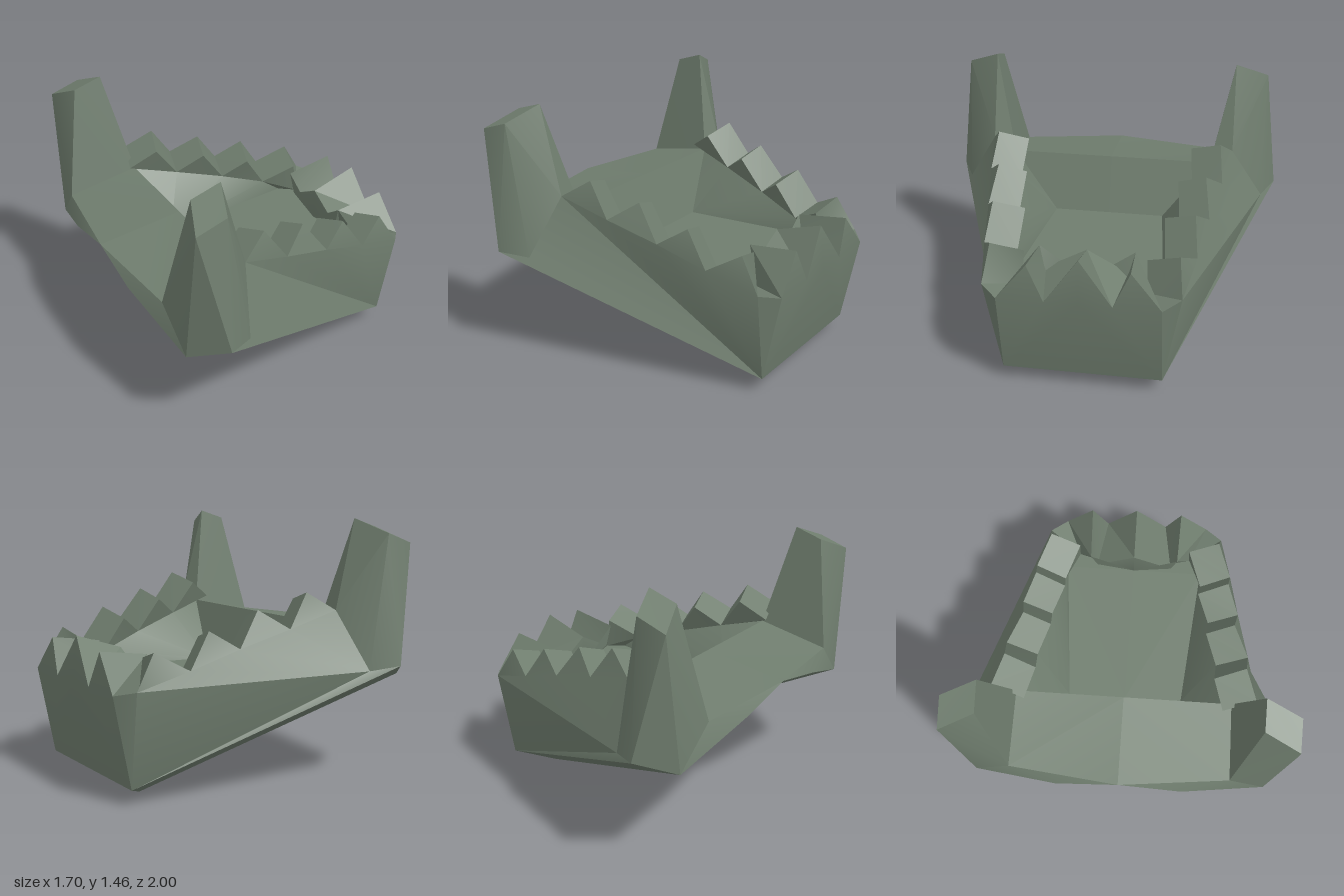
import * as THREE from 'three';
import { toCreasedNormals } from 'three/addons/utils/BufferGeometryUtils.js';

// Corner points of the +z half; the other half is mirrored in z.
const A = [-.6, .68, 1], B = [.75, .09, .44], C = [.85, .6, .435], D = [.765, .625, .53];
const E = [-.37, .97, .73], J = [-.45, .655, .92], F = [-.76, .59, .82], K = [.59, 0, .25];
const H = [-.78, .8, .61], G = [-.85, .75, .35], M = [-.85, .82, 0], N = [-.37, .885, .6];
const P1 = [-.735, 1.33, .91], P2 = [-.57, 1.385, .91], P3 = [-.5, 1.46, .72], P4 = [-.66, 1.41, .72];
const R = [-.27, .55, .33], S = [.55, .57, .41];
const mid = p => [p[0], p[1], 0];

// Side teeth: outer zigzag and its inner copy, valley and peak alternating
const outer = [E, [-.22, 1.07, .66], [-.09, .885, .685], [.06, .99, .595], [.2, .8, .63],
  [.35, .9, .56], [.48, .71, .585], [.65, .81, .505], D];
const innerXZ = [[-.42, .55], [-.27, .49], [-.13, .51], [.02, .44], [.16, .46],
  [.3, .39], [.43, .41], [.61, .33], [.64, .34]];
const inner = innerXZ.map(([x, z], i) => [x, outer[i][1] - .055, z]);
const outerValleys = outer.filter((p, i) => i % 2 === 0);

// Front teeth: outer and inner zigzag from the corner to the middle
const frontOuter = [C, [.83, .8, .27], [.85, .6, .18], [.82, .845, 0]];
const frontInner = [inner[8], [.54, .755, .26], [.55, .63, .225], [.55, .755, 0]];

// Quads between two zigzag lines
const strip = (a, b) => a.slice(1).map((p, i) => [a[i], p, b[i + 1], b[i]]);

// Sharp-edged mesh from polygons, each cut into a fan; slight folds stay soft
function facets(name, polygons, side, material) {
  const pos = [];
  for (const poly of polygons) {
    for (let i = 1; i < poly.length - 1; i++) {
      const tri = side > 0 ? [poly[0], poly[i], poly[i + 1]] : [poly[0], poly[i + 1], poly[i]];
      for (const [x, y, z] of tri) pos.push(x, y, z * side);
    }
  }
  const geo = new THREE.BufferGeometry();
  geo.setAttribute('position', new THREE.Float32BufferAttribute(pos, 3));
  const mesh = new THREE.Mesh(toCreasedNormals(geo, .55), material);
  mesh.name = name;
  return mesh;
}

export function createModel() {
  const group = new THREE.Group();
  group.name = 'lowerJaw';
  const stone = new THREE.MeshStandardMaterial({ color: 0x6f7d6e, side: THREE.DoubleSide });
  stone.name = 'greyGreen';

  for (const side of [1, -1]) {
    const half = new THREE.Group();
    half.name = side > 0 ? 'frontHalf' : 'backHalf';
    const add = (name, polygons) => half.add(facets(name, polygons, side, stone));

    // Outer wall with the teeth's outer faces, folded differently on the two sides
    const wall = side > 0
      ? [[A, B, J], [B, ...outerValleys.slice().reverse(), J], [B, C, D]]
      : [[A, B, J], [J, B, ...outerValleys.slice().reverse()], [B, C, D]];
    for (let i = 0; i < 8; i += 2) wall.push([outer[i], outer[i + 2], outer[i + 1]]);
    add('outerWall', wall);

    // Chin face running up into the front teeth
    add('chin', [[B, mid(B), mid(C), frontOuter[2], C],
      [C, frontOuter[2], frontOuter[1]], [frontOuter[2], mid(C), frontOuter[3]]]);

    // Lower bevels and the arched underside
    add('lowerBevel', [[F, K, B, A], [K, mid(K), mid(B), B]]);
    add('underside', [[M, mid(K), K, F, G]]);

    // Upright hinge prong
    add('hingeProng', [[P1, F, A, P2], [P2, A, J, E], [P2, E, P3], [P3, E, N],
      [P1, P2, P3, P4], [P4, P3, N, H], [H, F, P1, P4]]);

    // Rear bar joining the prongs
    add('rearBar', [[G, F, H], [H, N, mid(N), M], [H, M, G]]);
    add('rearBarFront', [[N, R, mid(R), mid(N)]]);

    // Mouth hollow
    add('mouthFloor', [[mid(R), R, S, mid(S)]]);
    add('innerWall', [[R, N, inner[2], inner[4], inner[6], S], [N, inner[0], inner[2]],
      [inner[6], inner[8], S]]);
    add('frontInnerWall', [[mid(S), S, ...frontInner]]);

    // Side teeth: tops and inner triangles
    const sideTeeth = strip(outer, inner);
    for (let i = 0; i < 8; i += 2) sideTeeth.push([inner[i + 2], inner[i], inner[i + 1]]);
    sideTeeth.push([E, inner[0], N]);
    add('sideTeeth', sideTeeth);

    // Front teeth tops
    add('frontTeeth', [...strip(frontOuter, frontInner), [D, C, inner[8]]]);

    group.add(half);
  }
  return group;
}
